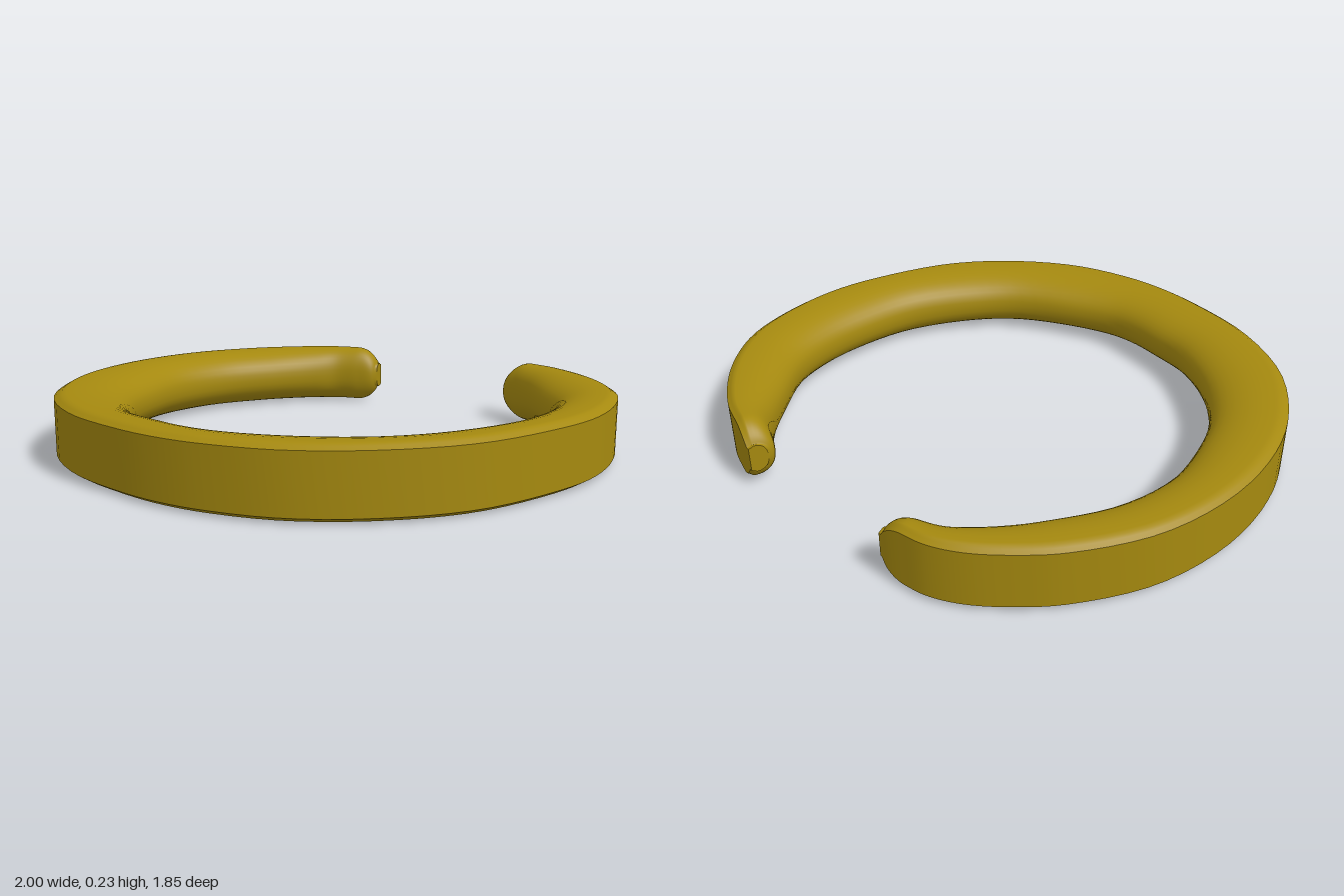
import * as THREE from 'three';

// Plan outline as matched stations: outer x, outer z, inner x, inner z
const STATIONS_A = [
  [-.335, -.865, -.33, -.83], [-.36, -.868, -.345, -.80], [-.43, -.86, -.40, -.765],
  [-.52, -.84, -.48, -.72], [-.62, -.785, -.53, -.66], [-.73, -.685, -.58, -.59],
  [-.825, -.57, -.645, -.48], [-.95, -.32, -.74, -.28], [-.99, -.03, -.77, -.05],
  [-.95, .25, -.72, .16], [-.85, .48, -.635, .35], [-.665, .70, -.48, .52],
  [-.40, .845, -.265, .645], [-.13, .90, -.10, .675], [.04, .91, .04, .69],
];
const STATIONS_B = [
  [.215, .89, .14, .68], [.455, .81, .31, .61], [.68, .64, .50, .50],
  [.85, .42, .62, .36], [.95, .13, .735, .13], [.985, -.105, .76, -.105],
  [.955, -.35, .745, -.29], [.88, -.55, .69, -.455], [.725, -.73, .56, -.62],
  [.525, -.86, .44, -.75], [.40, -.90, .365, -.805], [.33, -.918, .30, -.84],
  [.305, -.92, .29, -.87],
];
const STATIONS = [...STATIONS_A, ...STATIONS_B];
const HALF = 0.1175;   // half the band height
const LIP = 0.012;     // how far the flat wall stands proud
const TIP = 0.1;       // length of the rounded ends
const STEPS = 160;

const curve = (a, b) => new THREE.CatmullRomCurve3(
  STATIONS.map((s) => new THREE.Vector3(s[a], HALF, s[b])));
const outer = curve(0, 1);
const inner = curve(2, 3);

// Sweep a section of [depth 0..1 from outer to inner, height -1..1, proud] along the outline
function sweep(section) {
  const ends = [0, 1].map((u) => outer.getPoint(u).lerp(inner.getPoint(u), 0.5));
  const pos = [], index = [];
  const n = section.length;
  for (let i = -1; i <= STEPS + 1; i++) {
    const t = Math.min(Math.max(i / STEPS, 0), 1);
    const u = (1 - Math.cos(Math.PI * t)) / 2;
    const o = outer.getPoint(u), p = inner.getPoint(u);
    const out = o.clone().sub(p).normalize();
    const mid = o.clone().lerp(p, 0.5);
    const d = Math.min(mid.distanceTo(ends[0]), mid.distanceTo(ends[1]), TIP) / TIP;
    const h = HALF * Math.sqrt(Math.max(0.2, 1 - (1 - d) ** 2));
    const closed = i < 0 || i > STEPS;   // the end rings close to a point
    for (const [depth, y, proud] of section) {
      const v = closed ? mid.clone()
        : o.clone().lerp(p, depth).addScaledVector(out, proud * LIP);
      pos.push(v.x, closed ? HALF : HALF + y * h, v.z);
    }
  }
  for (let i = 0; i < STEPS + 2; i++) {
    for (let j = 0; j < n - 1; j++) {
      const a = i * n + j, b = a + n;
      index.push(a, b, a + 1, b, b + 1, a + 1);
    }
  }
  const g = new THREE.BufferGeometry();
  g.setAttribute('position', new THREE.Float32BufferAttribute(pos, 3));
  g.setIndex(index);
  g.computeVertexNormals();
  return g;
}

export function createModel() {
  const group = new THREE.Group();
  group.name = 'openBangle';
  const gold = new THREE.MeshStandardMaterial({ color: 0xa5890f });
  gold.name = 'antique gold';

  // Rounded body: soft shoulder at the outside, domed towards the inside
  const shoulder = [[0, 0.85, 1], [0.015, 0.93, 0], [0.06, 0.985, 0]];
  const section = [...shoulder];
  const arc = 20, power = 2 / 2.3;
  for (let k = 0; k <= arc; k++) {
    const a = (k / arc) * Math.PI;
    const c = Math.cos(a);
    section.push([0.13 + 0.87 * Math.abs(Math.sin(a)) ** power,
      Math.sign(c) * Math.abs(c) ** power, 0]);
  }
  section.push(...shoulder.map(([d, y, l]) => [d, -y, l]).reverse());
  const body = new THREE.Mesh(sweep(section), gold);
  body.name = 'roundedBody';

  // Flat upright wall around the outside
  const wall = new THREE.Mesh(sweep([[0, -0.85, 1], [0, 0.85, 1]]), gold);
  wall.name = 'outerWall';

  group.add(body, wall);
  return group;
}
